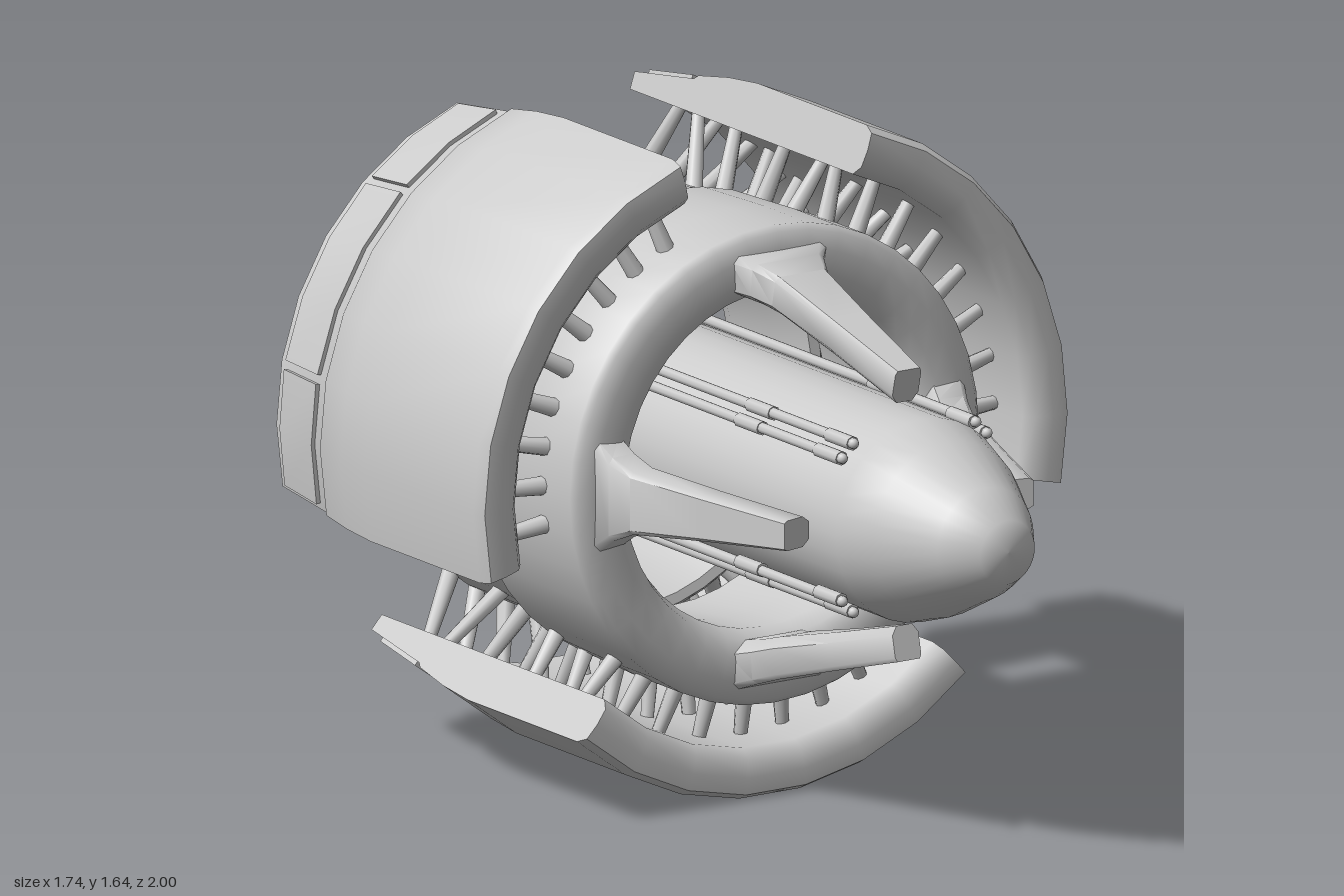
import * as THREE from 'three';
import { mergeGeometries, toCreasedNormals } from 'three/addons/utils/BufferGeometryUtils.js';

const material = new THREE.MeshStandardMaterial({ color: 0xcccccc, side: THREE.DoubleSide });
const rad = THREE.MathUtils.degToRad;
const AXIS_Y = 0.833;

function add(parent, geometry, name) {
  const mesh = new THREE.Mesh(geometry, material);
  mesh.name = name;
  parent.add(mesh);
  return mesh;
}

// Revolves a closed [radius, z] outline about the z axis; angle 0 points down.
function sweep(outline, segments, from, to, capped = true) {
  const pts = outline.map(([r, z]) => new THREE.Vector2(r, z));
  const ring = new THREE.LatheGeometry([...pts, pts[0].clone()], segments, rad(from), rad(to - from));
  const pieces = [ring.toNonIndexed()];
  if (capped) {
    for (const angle of [from, to]) {
      const cap = new THREE.ShapeGeometry(new THREE.Shape(pts)).toNonIndexed();
      pieces.push(cap.rotateY(rad(angle) - Math.PI / 2));
    }
  }
  const merged = mergeGeometries(pieces);
  merged.deleteAttribute('uv');
  return toCreasedNormals(merged.rotateX(Math.PI / 2), 0.85);
}

// Tapered round bar between two points
function bar(a, b, r1, r2) {
  const dir = b.clone().sub(a);
  const geo = new THREE.CylinderGeometry(r2, r1, dir.length(), 8);
  geo.applyQuaternion(new THREE.Quaternion().setFromUnitVectors(
    new THREE.Vector3(0, 1, 0), dir.clone().normalize()));
  const mid = a.clone().add(b).multiplyScalar(0.5);
  return geo.translate(mid.x, mid.y, mid.z);
}

const polar = (r, deg, z) =>
  new THREE.Vector3(r * Math.sin(rad(deg)), -r * Math.cos(rad(deg)), z);

// Lofts chamfered rectangles: z at the inner and outer edge, radii, half width
function finGeometry() {
  const sections = [
    { zi: 0.55, zo: 0.57, ri: 0.28, ro: 0.365, w: 0.038 },
    { zi: 0.30, zo: 0.32, ri: 0.35, ro: 0.44, w: 0.058 },
    { zi: 0.09, zo: 0.11, ri: 0.405, ro: 0.505, w: 0.078 },
    { zi: 0.04, zo: 0.05, ri: 0.42, ro: 0.527, w: 0.105 },
    { zi: -0.01, zo: 0.012, ri: 0.43, ro: 0.543, w: 0.14 },
  ];
  const corners = [[-1, 0.25], [-0.6, 0], [0.6, 0], [1, 0.25], [1, 0.88], [0.85, 1], [-0.85, 1], [-1, 0.88]];
  const n = corners.length;
  const pos = [];
  const index = [];
  for (const s of sections) {
    for (const [u, v] of corners) {
      pos.push(u * s.w, s.ri + v * (s.ro - s.ri), s.zi + v * (s.zo - s.zi));
    }
  }
  for (let i = 0; i < sections.length - 1; i++) {
    for (let j = 0; j < n; j++) {
      const a = i * n + j, b = i * n + (j + 1) % n;
      index.push(a, a + n, b, b, a + n, b + n);
    }
  }
  for (let j = 1; j < n - 1; j++) index.push(0, j, j + 1);
  const geo = new THREE.BufferGeometry();
  geo.setAttribute('position', new THREE.Float32BufferAttribute(pos, 3));
  geo.setIndex(index);
  return toCreasedNormals(geo, 0.8);
}

// One third of the outer cowling with its rear ring sector and struts
function createSector() {
  const sector = new THREE.Group();
  sector.name = 'cowlSector';

  // Outer shell, stepped in behind z = -0.74
  const shell = [
    [0.712, -0.995], [0.757, -0.995], [0.792, -0.755], [0.803, -0.74], [0.825, -0.62],
    [0.837, -0.5], [0.837, -0.03], [0.822, -0.002], [0.78, 0], [0.735, -0.008], [0.712, -0.035],
  ];
  add(sector, sweep(shell, 7, -42.5, 42.5), 'outerShell');

  // Raised panels around the rear of the shell
  const panel = [[0.75, -0.96], [0.772, -0.96], [0.798, -0.785], [0.78, -0.785]];
  for (const [from, to, seg] of [[-41.3, -19.5, 2], [-17.8, 17.8, 3], [19.5, 41.3, 2]]) {
    add(sector, sweep(panel, seg, from, to), 'rearPanel');
  }

  // Rear inner ring sector: thin in front, with a rounded rear lip
  const ring = [
    [0.43, -0.86], [0.445, -0.91], [0.475, -0.95], [0.51, -0.96], [0.535, -0.94],
    [0.543, -0.9], [0.543, -0.65], [0.53, -0.635], [0.505, -0.64], [0.46, -0.74],
  ];
  add(sector, sweep(ring, 14, -57, 57), 'rearRing');

  // Radial struts in front, leaning struts behind: [inner radius, inner z, outer z]
  const rows = [[0.55, -0.13, -0.16], [0.55, -0.4, -0.375], [0.51, -0.67, -0.76], [0.51, -0.91, -0.82]];
  const struts = [];
  for (const [r, zi, zo] of rows) {
    for (let i = -4; i <= 4; i++) {
      struts.push(bar(polar(r, i * 9.9, zi), polar(0.735, i * 9.9, zo), 0.024, 0.016));
    }
  }
  add(sector, mergeGeometries(struts), 'struts');
  return sector;
}

export function createModel() {
  const model = new THREE.Group();
  model.name = 'engine';
  const engine = new THREE.Group();
  engine.name = 'engineAssembly';
  engine.position.y = AXIS_Y;
  model.add(engine);

  // Central body with a tapered nose
  const body = [
    [0, -1], [0.255, -1], [0.255, -0.3], [0.255, 0.63], [0.22, 0.74],
    [0.142, 0.9], [0.08, 0.995], [0, 1],
  ].map(([r, z]) => new THREE.Vector2(r, z));
  add(engine, new THREE.LatheGeometry(body, 32).rotateX(Math.PI / 2), 'centralBody');

  // Front duct
  const duct = [
    [0.455, -0.455], [0.59, -0.455], [0.6, -0.2], [0.6, -0.01], [0.585, 0.006], [0.54, 0.016],
    [0.48, 0.012], [0.44, -0.01], [0.42, -0.06], [0.43, -0.2],
  ];
  add(engine, sweep(duct, 40, 0, 360, false), 'frontDuct');

  // Four forward fins
  const fin = finGeometry();
  for (let i = 0; i < 4; i++) {
    add(engine, fin, 'forwardFin').rotation.z = i * Math.PI / 2;
  }

  // Paired pipes along the body, with thicker sleeves
  for (let i = 0; i < 4; i++) {
    const pipes = new THREE.Group();
    pipes.name = 'pipePair';
    pipes.rotation.z = Math.PI / 4 + i * Math.PI / 2;
    for (const side of [-1, 1]) {
      const pipe = new THREE.CapsuleGeometry(0.014, 1.58, 4, 8).rotateX(Math.PI / 2);
      add(pipes, pipe, 'pipe').position.set(side * 0.023, 0.277, -0.195);
      for (const z of [0.54, 0.2]) {
        const sleeve = new THREE.CylinderGeometry(0.018, 0.018, 0.1, 8).rotateX(Math.PI / 2);
        add(pipes, sleeve, 'pipeSleeve').position.set(side * 0.023, 0.275, z);
      }
    }
    engine.add(pipes);
  }

  // Three cowl sectors; the upper two stand slightly further out
  for (const turn of [0, 1, -1]) {
    const sector = createSector();
    sector.rotation.z = rad(turn * 120);
    if (turn) sector.position.set(turn * 0.033, 0.005, 0);
    engine.add(sector);
  }
  return model;
}
